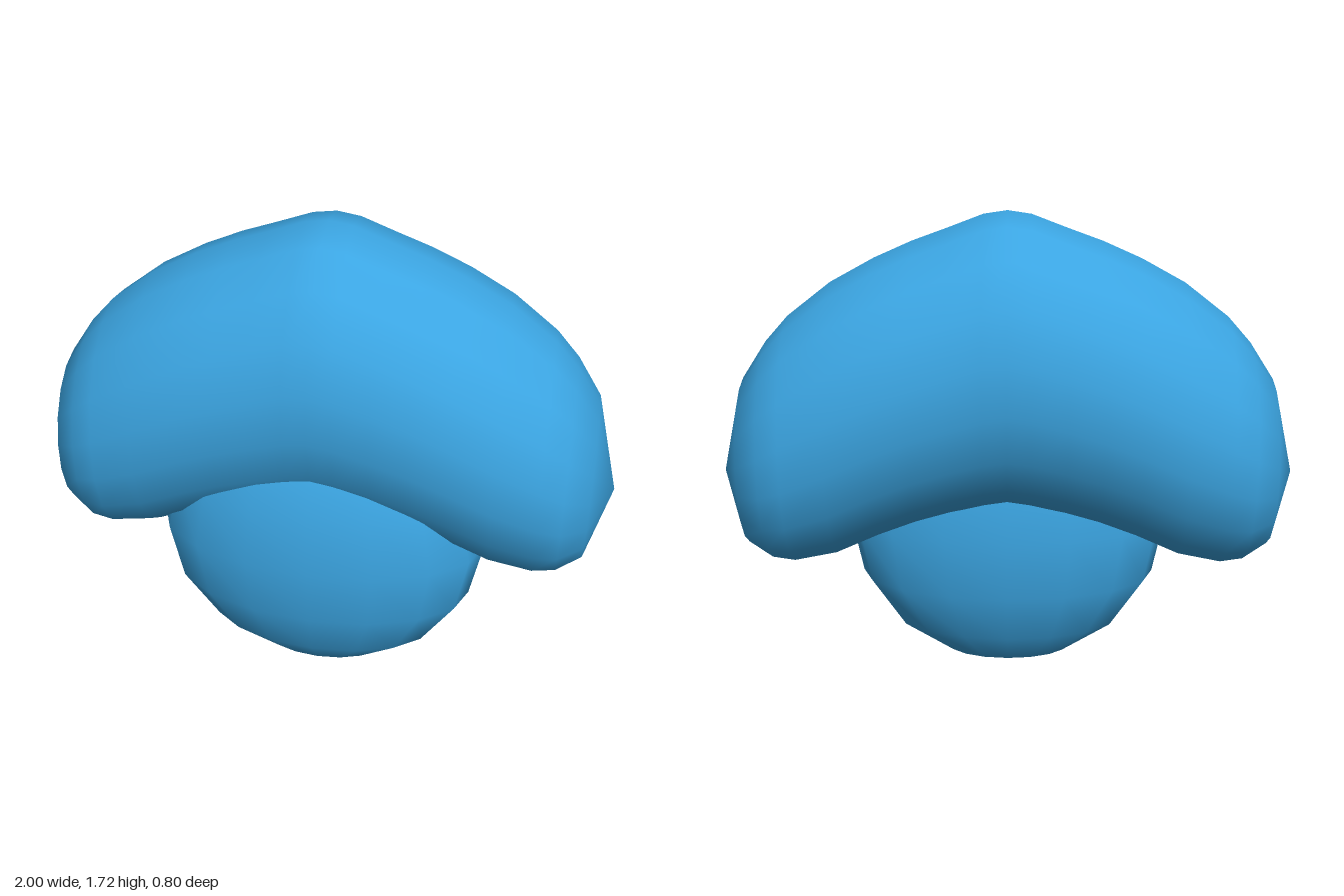
import * as THREE from 'three';

// Arch sections for x >= 0: [x, top y, bottom y, half depth]
const SECTIONS = [
  [0, 1.72, 0.70, 0.405],
  [0.08, 1.708, 0.69, 0.405],
  [0.2, 1.662, 0.665, 0.405],
  [0.32, 1.618, 0.63, 0.404],
  [0.45, 1.56, 0.58, 0.4],
  [0.6, 1.477, 0.51, 0.385],
  [0.75, 1.36, 0.477, 0.352],
  [0.83, 1.27, 0.487, 0.318],
  [0.915, 1.14, 0.54, 0.242],
];
const TIP = [1, 0.8];
const SIDES = 18;

// Skin of elliptical rings along x, closed by a point at each end
function archGeometry() {
  const mirrored = SECTIONS.slice(1).reverse().map(([x, t, b, d]) => [-x, t, b, d]);
  const rings = [...mirrored, ...SECTIONS];
  const points = [];
  const index = [];
  for (const [x, top, bottom, depth] of rings) {
    for (let j = 0; j < SIDES; j++) {
      const a = (j / SIDES) * Math.PI * 2;
      points.push(x, (top + bottom) / 2 + ((top - bottom) / 2) * Math.cos(a), depth * Math.sin(a));
    }
  }
  const leftTip = rings.length * SIDES;
  const rightTip = leftTip + 1;
  points.push(TIP[0], TIP[1], 0, -TIP[0], TIP[1], 0);

  const last = (rings.length - 1) * SIDES;
  for (let j = 0; j < SIDES; j++) {
    const k = (j + 1) % SIDES;
    for (let i = 0; i < rings.length - 1; i++) {
      const a = i * SIDES + j, b = i * SIDES + k;
      const c = a + SIDES, d = b + SIDES;
      index.push(a, b, c, b, d, c);
    }
    index.push(rightTip, k, j);
    index.push(leftTip, last + j, last + k);
  }
  const geometry = new THREE.BufferGeometry();
  geometry.setAttribute('position', new THREE.Float32BufferAttribute(points, 3));
  geometry.setIndex(index);
  geometry.computeVertexNormals();
  return geometry;
}

export function createModel() {
  const model = new THREE.Group();
  const blue = new THREE.MeshStandardMaterial({ color: 0x3ba5e2 });
  blue.name = 'blue';

  // Bent pillow-like arch
  const arch = new THREE.Mesh(archGeometry(), blue);
  arch.name = 'arch';
  model.add(arch);

  // Flattened ball tucked under the arch, toward the front
  const ball = new THREE.Mesh(new THREE.SphereGeometry(1, 16, 8), blue);
  ball.name = 'ball';
  ball.scale.set(0.58, 0.58, 0.285);
  ball.position.set(0, 0.58, 0.12);
  model.add(ball);

  return model;
}
